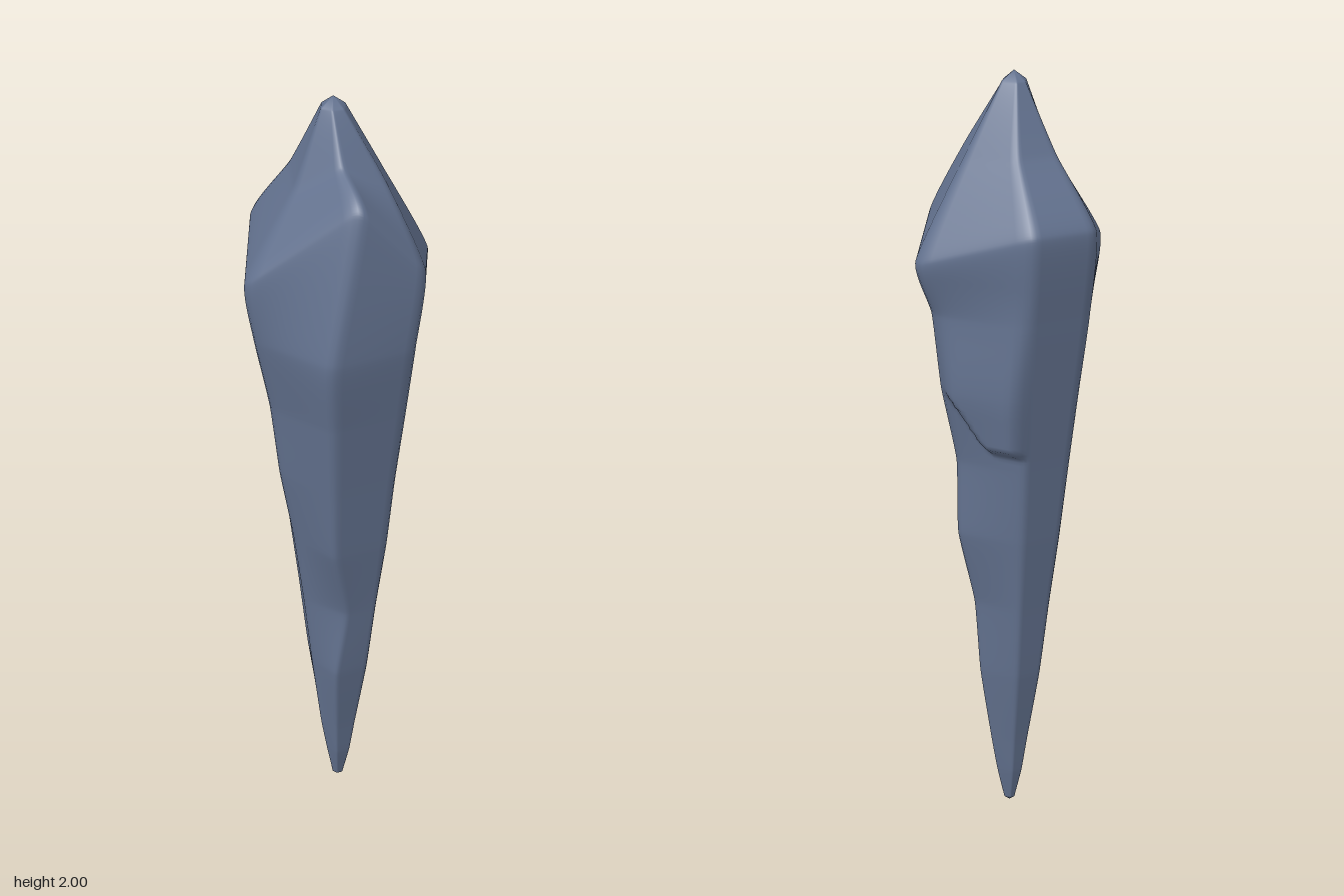
import * as THREE from 'three';

// How far each kind of edge has drawn in towards the axis at each height below the shoulder
const HEIGHTS = [1.4, 1.2, 1, .8, .6, .4, .2, .1, .012];
const LEFT_TAPER = [.84, .745, .58, .57, .39, .33, .21, .14, .06];
const RIGHT_TAPER = [.92, .75, .65, .5, .39, .3, .2, .13, .06];
const FACE_TAPER = [.92, .81, .7, .6, .48, .37, .22, .15, .06];

// The six edges in ring order: a point on the cap, the shoulder, and the [x, z] that the taper scales
const EDGES = [
  { cap: [.13, 1.79, .005], shoulder: [.277, 1.535, 0], base: [.275, 0], taper: LEFT_TAPER },
  { cap: [.055, 1.8, .135], shoulder: [.082, 1.605, .266], base: [.065, .286], taper: FACE_TAPER },
  { cap: [-.062, 1.86, .11], shoulder: [-.09, 1.79, .232], base: [-.19, .26], taper: FACE_TAPER, notch: .035 },
  { cap: [-.13, 1.78, 0], shoulder: [-.275, 1.555, 0], base: [-.275, 0], taper: RIGHT_TAPER },
  { cap: [-.06, 1.8, -.13], shoulder: [-.092, 1.63, -.264], base: [-.096, -.262], taper: FACE_TAPER },
  { cap: [.055, 1.8, -.13], shoulder: [.092, 1.63, -.264], base: [.096, -.262], taper: FACE_TAPER },
];
const ROWS = 220, STEPS = 14;
const FLAKE_OUT = new THREE.Vector3(.83, 0, -.56);
const smooth = THREE.MathUtils.smoothstep;

// Curve of one edge from apex to tip, tight enough to keep the shoulder crisp
function edgeCurve({ cap, shoulder, base: [x, z], taper, notch = 0 }) {
  const reach = Math.hypot(x, z);
  const body = HEIGHTS.map((y, i) => new THREE.Vector3(
    x * taper[i] + notch * Math.exp(-(((y - .6) / .12) ** 2)), y, z * taper[i]));
  return new THREE.CatmullRomCurve3([
    new THREE.Vector3(.036 * x / reach - .013, 1.975, .036 * z / reach),
    new THREE.Vector3(...cap),
    new THREE.Vector3(...shoulder),
    ...body,
  ], false, 'catmullrom', .25);
}

// Raised flake on the back left face: an undercut lower lip that fades out upward
function flakeOffset(y, f) {
  const lip = 1.035 + .15 * smooth(f, .4, 1);
  return .036 * smooth(y, lip, lip + .03) * (1 - smooth(y, 1.15, 1.5))
    * smooth(f, -.1, .15) * (1 - smooth(f, .8, 1));
}

function shardGeometry() {
  const curves = EDGES.map(edgeCurve);
  const ring = EDGES.length * STEPS, positions = [], index = [];
  for (let r = 0; r <= ROWS; r++) {
    const corners = curves.map(c => c.getPoint(r / ROWS));
    for (let i = 0; i < 6; i++) {
      const a = corners[i], b = corners[(i + 1) % 6], before = corners[(i + 5) % 6];
      for (let k = 0; k < STEPS; k++) {
        const f = k / STEPS, p = a.clone().lerp(b, f);
        // soften each corner slightly
        if (k === 0) p.multiplyScalar(.95).addScaledVector(b, .025).addScaledVector(before, .025);
        if (i === 5) p.addScaledVector(FLAKE_OUT, flakeOffset(p.y, f));
        positions.push(p.x, p.y, p.z);
      }
    }
  }
  for (let r = 0; r < ROWS; r++) {
    for (let s = 0; s < ring; s++) {
      const a = r * ring + s, b = r * ring + (s + 1) % ring;
      index.push(a, b, a + ring, b, b + ring, a + ring);
    }
  }
  // close apex and tip
  const top = positions.length / 3, last = ROWS * ring;
  positions.push(-.013, 2, 0, 0, 0, 0);
  for (let s = 0; s < ring; s++) {
    const n = (s + 1) % ring;
    index.push(top, n, s, top + 1, last + s, last + n);
  }
  const geometry = new THREE.BufferGeometry();
  geometry.setAttribute('position', new THREE.Float32BufferAttribute(positions, 3));
  geometry.setIndex(index);
  geometry.computeVertexNormals();
  return geometry;
}

export function createModel() {
  const group = new THREE.Group();
  group.name = 'crystalShard';
  const stone = new THREE.MeshStandardMaterial({ color: 0x63728f });
  stone.name = 'slateBlueStone';
  const shard = new THREE.Mesh(shardGeometry(), stone);
  shard.name = 'shard';
  group.add(shard);
  return group;
}
